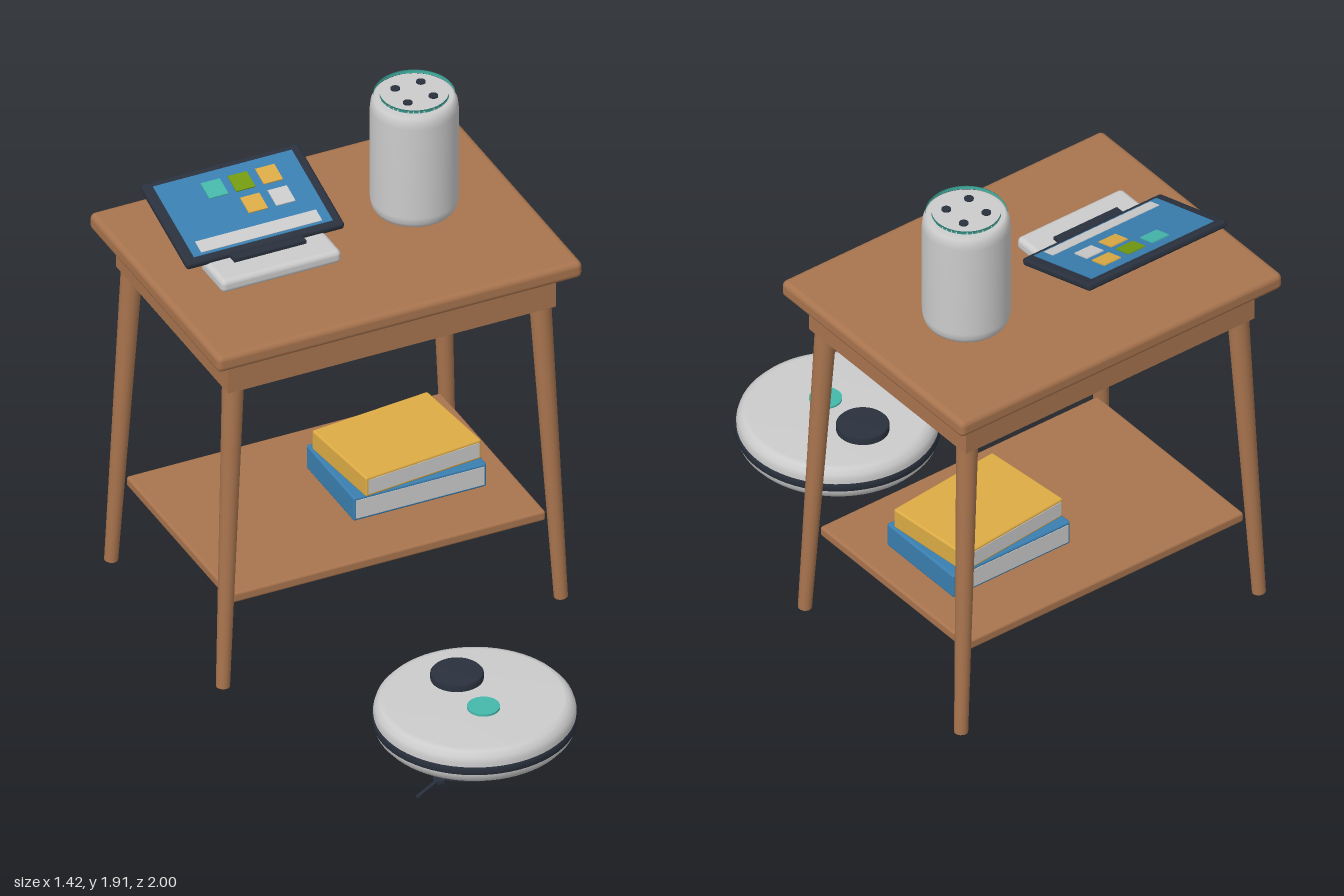
import * as THREE from 'three';
import { RoundedBoxGeometry } from 'three/addons/geometries/RoundedBoxGeometry.js';

const paint = (color) => new THREE.MeshStandardMaterial({ color });
const GREY = paint(0xcccccc), WOOD = paint(0xa8744e), DARK = paint(0x2a313d), TEAL = paint(0x45b8aa);
const BLUE = paint(0x3a7fb0), GOLD = paint(0xdcab45), GREEN = paint(0x729a10);

function add(parent, name, geometry, material, x = 0, y = 0, z = 0) {
  const mesh = new THREE.Mesh(geometry, material);
  mesh.name = name;
  mesh.position.set(x, y, z);
  parent.add(mesh);
  return mesh;
}
function group(parent, name, x = 0, y = 0, z = 0) {
  const g = new THREE.Group();
  g.name = name;
  g.position.set(x, y, z);
  parent.add(g);
  return g;
}
const box = (w, h, d) => new THREE.BoxGeometry(w, h, d);
const rounded = (w, h, d, r) => new RoundedBoxGeometry(w, h, d, 3, r);
const disc = (r, h, n = 40) => new THREE.CylinderGeometry(r, r, h, n);
const lathe = (points, n = 56) => new THREE.LatheGeometry(points.map(([r, y]) => new THREE.Vector2(r, y)), n);

// Side table with splayed, tapered legs and a lower shelf
function buildTable(root) {
  const table = group(root, 'table', 0, 0, -0.477);
  add(table, 'tableTop', rounded(1.42, 0.067, 1.043, 0.022), WOOD, 0, 1.396, 0);
  add(table, 'apron', box(1.274, 0.145, 0.9), WOOD, 0, 1.294, 0);
  add(table, 'shelf', rounded(1.225, 0.04, 0.842, 0.01), WOOD, 0, 0.335, 0);
  const up = new THREE.Vector3(0, 1, 0);
  for (const sx of [-1, 1]) for (const sz of [-1, 1]) {
    const foot = new THREE.Vector3(sx * 0.657, 0.003, sz * 0.449);
    const head = new THREE.Vector3(sx * 0.597, 1.235, sz * 0.406);
    const axis = head.clone().sub(foot);
    const leg = add(table, 'leg', new THREE.CylinderGeometry(0.039, 0.025, axis.length(), 16), WOOD);
    leg.position.copy(foot).add(head).multiplyScalar(0.5);
    leg.quaternion.setFromUnitVectors(up, axis.normalize());
  }
}

// Closed book with page edges on its front and back
function buildBook(root, name, material, w, h, d, x, y, z, turn) {
  const book = group(root, name, x, y, z);
  book.rotation.y = turn;
  add(book, 'cover', rounded(w, h, d, 0.008), material);
  add(book, 'pages', box(w - 0.02, h - 0.022, d + 0.004), GREY);
}

// Cylindrical speaker with a light ring
function buildSpeaker(root) {
  const speaker = group(root, 'speaker', 0.33, 1.43, -0.53);
  add(speaker, 'speakerBody', lathe([
    [0, 0], [0.125, 0], [0.142, 0.008], [0.152, 0.025], [0.156, 0.05],
    [0.156, 0.42], [0.153, 0.445], [0.146, 0.462], [0.136, 0.47], [0, 0.47],
  ]), GREY);
  add(speaker, 'lightRing', lathe([
    [0.122, 0.465], [0.122, 0.483], [0.14, 0.483], [0.144, 0.477], [0.144, 0.465],
  ]), TEAL);
  add(speaker, 'topCap', disc(0.122, 0.01), GREY, 0, 0.473, 0);
  for (const sx of [-1, 1]) for (const sz of [-1, 1])
    add(speaker, 'button', disc(0.017, 0.008, 20), DARK, sx * 0.05, 0.479, sz * 0.05);
}

// Smart display leaning back on a low base
function buildDisplay(root) {
  const display = group(root, 'display', -0.287, 0, 0);
  add(display, 'displayBase', rounded(0.467, 0.053, 0.18, 0.02), GREY, 0, 1.457, -0.405);
  add(display, 'neck', box(0.28, 0.04, 0.09), DARK, 0, 1.476, -0.455);
  const panel = group(display, 'panel', 0, 1.544, -0.637);
  panel.rotation.x = -THREE.MathUtils.degToRad(73);
  add(panel, 'frame', rounded(0.614, 0.4, 0.03, 0.012), DARK);
  add(panel, 'screen', box(0.54, 0.345, 0.004), BLUE, 0, 0, 0.0155);
  add(panel, 'statusBar', box(0.47, 0.053, 0.004), GREY, -0.002, -0.136, 0.018);
  const tiles = [[-0.068, 0.092, TEAL], [0.037, 0.092, GREEN], [0.144, 0.092, GOLD], [0.037, -0.013, GOLD], [0.144, -0.013, GREY]];
  for (const [x, y, m] of tiles) add(panel, 'tile', box(0.074, 0.074, 0.006), m, x, y, 0.019);
  const lens = add(panel, 'camera', disc(0.006, 0.004, 16), DARK, 0, 0.187, 0.016);
  lens.rotation.x = Math.PI / 2;
}

// Robot vacuum on the floor
function buildVacuum(root) {
  const vacuum = group(root, 'robotVacuum', 0, 0, 0.638);
  add(vacuum, 'vacuumBody', lathe([
    [0, 0.022], [0.3, 0.022], [0.335, 0.03], [0.352, 0.05], [0.356, 0.07],
    [0.356, 0.115], [0.35, 0.135], [0.334, 0.153], [0.315, 0.158], [0, 0.16],
  ], 64), GREY);
  add(vacuum, 'bumper', lathe([
    [0.35, 0.068], [0.36, 0.071], [0.36, 0.099], [0.35, 0.102],
  ], 64), DARK);
  add(vacuum, 'sensorTurret', lathe([
    [0.094, 0.15], [0.094, 0.179], [0.089, 0.185], [0, 0.185],
  ]), DARK, 0, 0, -0.143);
  add(vacuum, 'startButton', disc(0.058, 0.015), TEAL, 0, 0.16, 0.07);
  for (const sx of [-1, 1]) {
    const wheel = add(vacuum, 'wheel', disc(0.03, 0.03, 24), DARK, sx * 0.235, 0.034, 0.01);
    wheel.rotation.z = Math.PI / 2;
  }
  // Three-armed side brush
  const brush = group(vacuum, 'sideBrush', -0.24, 0.015, 0.215);
  add(brush, 'brushHub', disc(0.025, 0.014, 20), DARK);
  for (const degrees of [30, 150, 270]) {
    const a = THREE.MathUtils.degToRad(degrees);
    const arm = add(brush, 'brushArm', box(0.14, 0.008, 0.012), DARK, Math.cos(a) * 0.07, 0, Math.sin(a) * 0.07);
    arm.rotation.y = -a;
  }
}

export function createModel() {
  const root = new THREE.Group();
  root.name = 'smartHomeTable';
  buildTable(root);
  buildBook(root, 'lowerBook', BLUE, 0.518, 0.097, 0.383, 0.235, 0.405, -0.477, 0);
  buildBook(root, 'upperBook', GOLD, 0.475, 0.081, 0.362, 0.235, 0.495, -0.475, 0.1);
  buildSpeaker(root);
  buildDisplay(root);
  buildVacuum(root);
  return root;
}
